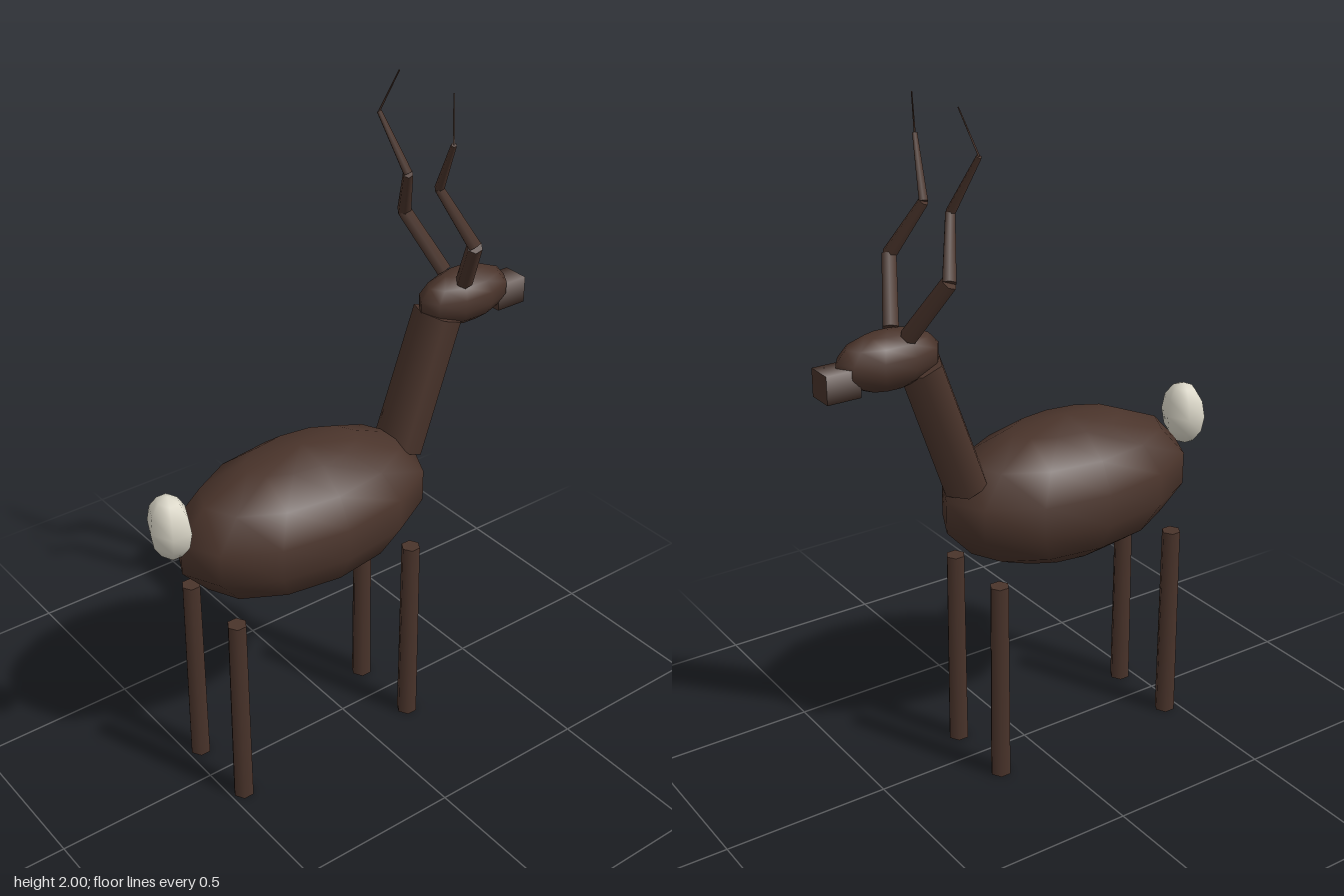
import * as THREE from 'three';

const brown = new THREE.MeshStandardMaterial({ color: 0x4a342b });
brown.name = 'brown fur';
const cream = new THREE.MeshStandardMaterial({ color: 0xdedacb });
cream.name = 'cream fur';

export function createModel() {
  const model = new THREE.Group();
  model.name = 'antelope';

  const add = (name, geometry, material = brown) => {
    const mesh = new THREE.Mesh(geometry, material);
    mesh.name = name;
    model.add(mesh);
    return mesh;
  };

  // Low-sided ellipsoid
  const ellipsoid = (name, pos, radii, sides, rings, material) => {
    const mesh = add(name, new THREE.SphereGeometry(1, sides, rings), material);
    mesh.scale.set(...radii);
    mesh.position.set(...pos);
  };

  // Tapered rod between two points, with a corner turned towards the local x axis
  const rod = (name, from, to, r0, r1) => {
    const a = new THREE.Vector3(...from), b = new THREE.Vector3(...to);
    const dir = b.clone().sub(a);
    const geometry = new THREE.CylinderGeometry(r1, r0, dir.length(), 6);
    geometry.rotateY(Math.PI / 2);
    const mesh = add(name, geometry);
    mesh.position.copy(a).add(b).multiplyScalar(0.5);
    mesh.quaternion.setFromUnitVectors(new THREE.Vector3(0, 1, 0), dir.normalize());
    return mesh;
  };

  // Body, tail and head
  ellipsoid('body', [-0.145, 0.82, 0], [0.42, 0.22, 0.231], 12, 7);
  ellipsoid('tail', [-0.585, 0.942, 0], [0.06, 0.098, 0.077], 6, 6, cream);
  ellipsoid('head', [0.435, 1.332, 0], [0.16, 0.083, 0.08], 10, 7);

  // Neck, a little deeper than it is wide
  rod('neck', [0.202, 0.908, 0], [0.34, 1.298, 0], 0.066, 0.064).scale.z = 1.24;

  // Square muzzle
  const muzzle = new THREE.CylinderGeometry(0.0566, 0.0566, 0.1, 4);
  muzzle.rotateY(Math.PI / 4).rotateZ(-Math.PI / 2);
  add('muzzle', muzzle).position.set(0.59, 1.3, 0);

  // Zigzag horns: x, y, z at each bend, then start and end radius of each segment
  const bends = [
    [0.398, 1.4, 0.045],
    [0.335, 1.565, 0.152],
    [0.275, 1.72, 0.066],
    [0.243, 1.88, 0.156],
    [0.275, 2.0, 0.112],
  ];
  const radii = [[0.025, 0.023], [0.021, 0.015], [0.014, 0.008], [0.003, 0.002]];

  // Legs and horns on both sides
  for (const side of [1, -1]) {
    const word = side > 0 ? 'near' : 'far';
    for (const [end, x] of [['front', 0.165], ['hind', -0.458]]) {
      rod(`${word} ${end} leg`, [x, 0, side * 0.117], [x, 0.625, side * 0.117], 0.032, 0.029);
    }
    radii.forEach(([r0, r1], i) => {
      const [from, to] = [bends[i], bends[i + 1]].map(([x, y, z]) => [x, y, side * z]);
      rod(`${word} horn segment ${i + 1}`, from, to, r0, r1);
    });
  }
  return model;
}
